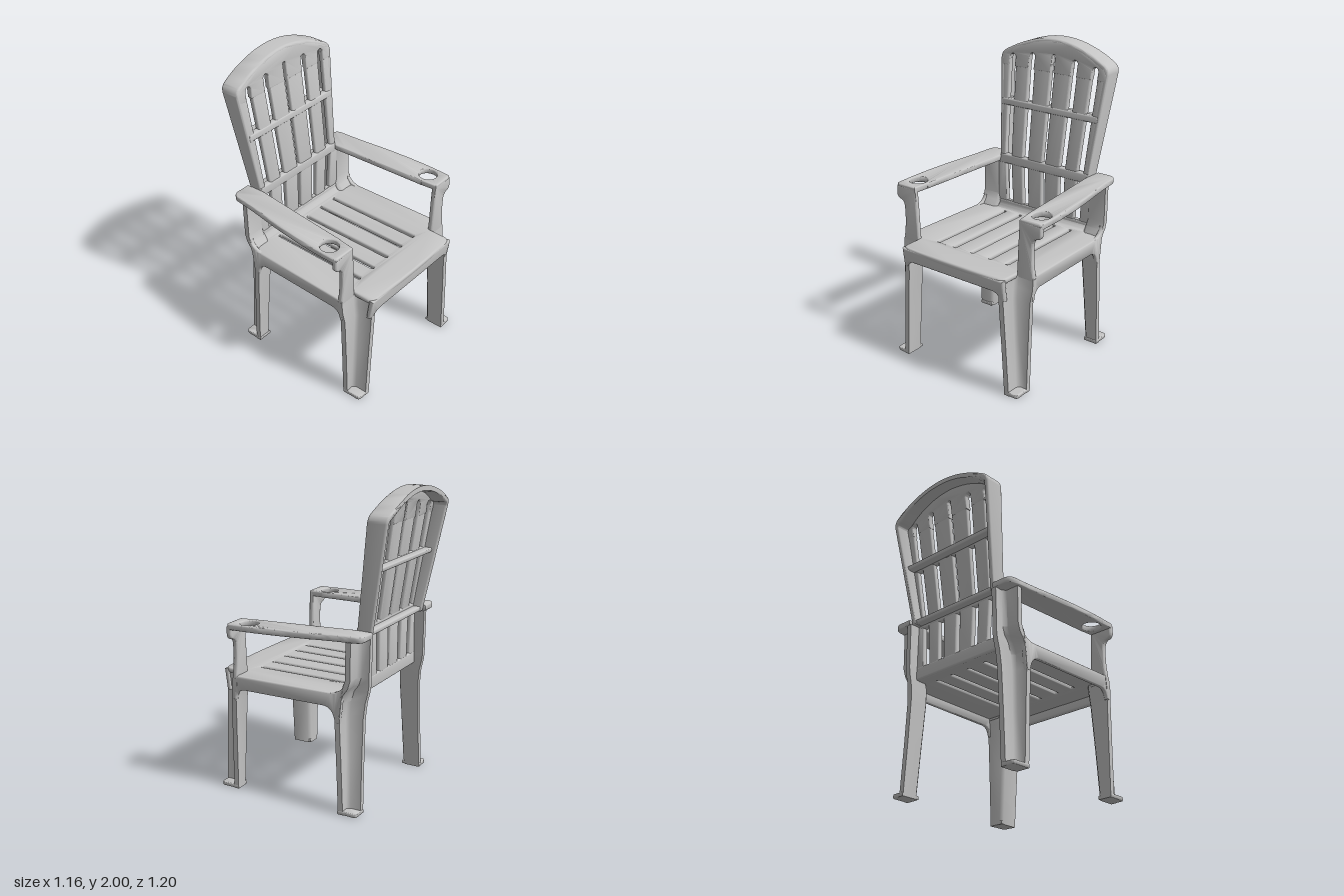
import * as THREE from 'three';
import { toCreasedNormals } from 'three/addons/utils/BufferGeometryUtils.js';

const plastic = new THREE.MeshStandardMaterial({ color: 0xc4c4c4 });
plastic.name = 'greyPlastic';

// Plate with softened edges, filling z = 0..thickness
function plate(shape, thickness, bevel = 0.01) {
  const g = new THREE.ExtrudeGeometry(shape, {
    depth: thickness - 2 * bevel, bevelThickness: bevel, bevelSize: bevel,
    bevelOffset: -bevel, bevelSegments: 3, curveSegments: 10,
  });
  return g.translate(0, 0, bevel);
}

const polygon = points => new THREE.Shape(points.map(([x, y]) => new THREE.Vector2(x, y)));

// Move every vertex by a rule
function warp(g, rule) {
  const p = g.attributes.position, v = new THREE.Vector3();
  for (let i = 0; i < p.count; i++) {
    rule(v.fromBufferAttribute(p, i));
    p.setXYZ(i, v.x, v.y, v.z);
  }
  return g;
}

// Mirrored copy across x = 0 with corner order restored
function mirrored(g) {
  const m = g.index ? g.toNonIndexed() : g.clone();
  const p = m.attributes.position;
  for (let i = 0; i < p.count; i += 3) {
    const t = [0, 2, 1].map(k => [-p.getX(i + k), p.getY(i + k), p.getZ(i + k)]);
    t.forEach((c, k) => p.setXYZ(i + k, ...c));
  }
  return m;
}

// Slot with round ends between two points
function slot(x0, y0, x1, y1, r) {
  const a = Math.atan2(y1 - y0, x1 - x0), path = new THREE.Path();
  path.absarc(x1, y1, r, a - Math.PI / 2, a + Math.PI / 2, false);
  path.absarc(x0, y0, r, a + Math.PI / 2, a + Math.PI * 1.5, false);
  path.closePath();
  return path;
}

// Angle-section column, open to its outer corner; stations: [y, xIn, xOut, zIn, zOut]
function angleColumn(stations, t = 0.034, c = 0.02) {
  const pos = [], idx = [], n = stations.length - 1;
  const s = Math.sign(stations[0][4] - stations[0][3]);
  for (const [y, xi, xo, zi, zo] of stations)
    for (const [x, z] of [[xi + c, zi], [xo, zi], [xo, zi + s * t], [xi + t + c, zi + s * t],
      [xi + t, zi + s * (t + c)], [xi + t, zo], [xi, zo], [xi, zi + s * c]]) pos.push(x, y, z);
  const tri = (a, b, d) => idx.push(...(s > 0 ? [a, b, d] : [a, d, b]));
  for (let k = 0; k < n; k++) for (let i = 0; i < 8; i++) {
    const a = k * 8 + i, b = k * 8 + (i + 1) % 8;
    tri(a, a + 8, b + 8);
    tri(a, b + 8, b);
  }
  for (const [a, b, d] of [[0, 1, 2], [0, 2, 3], [0, 3, 4], [0, 4, 7], [4, 5, 6], [4, 6, 7]]) {
    tri(a, b, d);
    tri(n * 8 + a, n * 8 + d, n * 8 + b);
  }
  const g = new THREE.BufferGeometry();
  g.setAttribute('position', new THREE.Float32BufferAttribute(pos, 3));
  g.setIndex(idx);
  return g;
}

// Arched outline of the backrest inset by d, from lower right over the top to lower left
function archPoints(d, y0) {
  const p = new THREE.Path(), W = 0.43 - d, top = 2 - d;
  p.moveTo(0.363 - d, y0);
  p.lineTo(W, 1.82);
  p.quadraticCurveTo(W + 0.003, 1.865 - d / 2, W - 0.035, 1.885 - d);
  p.bezierCurveTo(0.27, top - 0.045, 0.13, top, 0, top);
  p.bezierCurveTo(-0.13, top, -0.27, top - 0.045, -W + 0.035, 1.885 - d);
  p.quadraticCurveTo(-W - 0.003, 1.865 - d / 2, -W, 1.82);
  p.lineTo(-0.363 + d, y0);
  return p.getPoints(9);
}

const backFront = y => -0.36 - 0.143 * Math.max(0, y - 1.16);

export function createModel() {
  const chair = new THREE.Group();
  chair.name = 'chair';
  const add = (name, g, crease = 0.8) => {
    const m = new THREE.Mesh(toCreasedNormals(g, crease), plastic);
    m.name = name;
    chair.add(m);
  };
  const pair = (name, g) => {
    add('left' + name, g);
    add('right' + name, mirrored(g));
  };
  // Set a plate into the sloping back, its rear face at the given depth
  const lean = (g, depth) => warp(g, v => { v.z += backFront(v.y) - depth; });

  // Slotted seat with narrower front
  const seat = new THREE.Shape();
  seat.moveTo(-0.36, -0.59);
  seat.quadraticCurveTo(0, -0.605, 0.36, -0.59);
  seat.quadraticCurveTo(0.41, -0.585, 0.41, -0.54);
  for (const [x, y] of [[0.41, -0.445], [0.525, -0.445], [0.505, 0.31], [0.39, 0.33], [0.39, 0.385],
    [-0.39, 0.385], [-0.39, 0.33], [-0.505, 0.31], [-0.525, -0.445], [-0.41, -0.445], [-0.41, -0.54]]) seat.lineTo(x, y);
  seat.quadraticCurveTo(-0.41, -0.585, -0.36, -0.59);
  for (const [xf, xb, r] of [[0, 0, 0.010], [0.145, 0.143, 0.012], [0.28, 0.275, 0.011]])
    for (const s of xf ? [-1, 1] : [1]) seat.holes.push(slot(s * xf, -0.378, s * xb, 0.29, r));
  add('seat', plate(seat, 0.035, 0.012).rotateX(-Math.PI / 2).translate(0, 0.757, 0));

  // Front apron with rounded corners into the legs
  const apron = new THREE.Shape();
  apron.moveTo(-0.41, 0.785);
  apron.lineTo(-0.41, 0.64);
  apron.lineTo(-0.375, 0.64);
  apron.quadraticCurveTo(-0.37, 0.698, -0.32, 0.698);
  apron.lineTo(0.32, 0.698);
  apron.quadraticCurveTo(0.37, 0.698, 0.375, 0.64);
  apron.lineTo(0.41, 0.64);
  apron.lineTo(0.41, 0.785);
  add('frontApron', warp(plate(apron, 0.035, 0.014), v => {
    v.z += 0.56 - 0.02 * Math.max(0, (0.70 - v.y) / 0.06);
  }));

  // Side skirts
  const skirt = new THREE.Shape();
  skirt.moveTo(0.445, 0.787);
  skirt.lineTo(0.445, 0.63);
  skirt.lineTo(0.425, 0.63);
  skirt.quadraticCurveTo(0.42, 0.698, 0.36, 0.7);
  skirt.lineTo(-0.2, 0.7);
  skirt.quadraticCurveTo(-0.275, 0.7, -0.285, 0.6);
  skirt.lineTo(-0.32, 0.6);
  skirt.lineTo(-0.345, 0.86);
  skirt.quadraticCurveTo(-0.335, 0.8, -0.25, 0.79);
  pair('SideSkirt', warp(plate(skirt, 0.03).rotateY(-Math.PI / 2), v => {
    v.x += 0.525 - 0.02 * (0.44 - v.z) / 0.76;
  }));

  // Curved joint between seat and backrest
  const cove = new THREE.Shape();
  cove.moveTo(-0.30, 0.787);
  cove.quadraticCurveTo(-0.355, 0.79, -0.362, 0.845);
  cove.lineTo(-0.38, 0.845);
  cove.lineTo(-0.38, 0.77);
  cove.lineTo(-0.30, 0.77);
  add('seatCove', plate(cove, 0.76, 0.002).rotateY(-Math.PI / 2).translate(0.38, 0, 0));

  // Back slats fan out between tapering slots: [centre x, half width, top]
  const slots = [[-0.28, 0.023, 1.862], [-0.145, 0.021, 1.885], [0, 0.012, 1.90],
    [0.145, 0.021, 1.885], [0.28, 0.023, 1.862]];
  const slotX = (x, y) => x * (1 + 0.18 * (y - 0.85));
  for (let i = 0; i < 6; i++) {
    const edge = (k, side, y) => slots[k]
      ? slotX(slots[k][0], y) + side * slots[k][1]
      : -side * (y < 1.14 ? 0.39 : 0.357 + 0.095 * (y - 1.14));
    for (const [part, a, b] of [['lower', 0.78, 1.135], ['upper', 1.145, 1.83]])
      add(part + 'Slat' + (i + 1), lean(plate(polygon([[edge(i - 1, 1, a), a], [edge(i, -1, a), a],
        [edge(i, -1, b), b], [edge(i - 1, 1, b), b]]), 0.038, 0.012), 0.038));
  }

  // Arched head of the back with round slot tops along its lower edge
  const head = new THREE.Shape();
  head.moveTo(-0.42, 1.78);
  for (const [x0, r, top] of slots) {
    const x = slotX(x0, 1.85);
    head.lineTo(x - r - 0.003, 1.78);
    head.absarc(x, top - r, r, Math.PI, 0, true);
    head.lineTo(x + r - 0.003, 1.78);
  }
  head.lineTo(0.42, 1.78);
  for (const p of archPoints(0.008, 1.14).slice(1, -1)) head.lineTo(p.x, p.y);
  add('backHead', lean(plate(head, 0.042, 0.008), 0.04));

  // Deep rim around the sides and top of the back
  const rim = new THREE.Shape([...archPoints(0, 1.13), ...archPoints(0.032, 1.13).reverse()]);
  add('backRim', warp(plate(rim, 0.1, 0.011), v => {
    const depth = (0.1 - v.z) / 0.1 * (0.1 + 0.05 * (v.y - 1.16));
    v.z = Math.max(-0.6, backFront(v.y) + 0.002 - depth);
  }));

  // Cross rails, and the ribs behind them: [name, y, height, half width]
  const bar = (y, h, w) => polygon([[-w, y - h / 2], [w, y - h / 2], [w, y + h / 2], [-w, y + h / 2]]);
  for (const [name, y, h, w] of [['bottom', 0.802, 0.085, 0.39], ['arm', 1.147, 0.068, 0.365], ['middle', 1.537, 0.048, 0.39]]) {
    add(name + 'Rail', lean(plate(bar(y, h, w), 0.044, 0.012), 0.04));
    if (y > 1) add(name + 'Rib', lean(plate(bar(y, 0.03, w), 0.075, 0.01), 0.09));
  }

  // Legs; the rear ones rise to carry the armrests
  pair('FrontLeg', angleColumn([
    [0, 0.405, 0.503, 0.44, 0.573], [0.35, 0.385, 0.51, 0.435, 0.576],
    [0.62, 0.368, 0.517, 0.43, 0.578], [0.70, 0.365, 0.527, 0.42, 0.58], [0.775, 0.365, 0.527, 0.412, 0.578],
  ]));
  pair('RearLeg', angleColumn([
    [0, 0.405, 0.503, -0.31, -0.435], [0.35, 0.385, 0.503, -0.297, -0.43],
    [0.62, 0.37, 0.503, -0.285, -0.43], [0.72, 0.365, 0.503, -0.288, -0.44],
    [0.79, 0.363, 0.502, -0.31, -0.457], [0.83, 0.362, 0.502, -0.34, -0.462],
    [0.88, 0.362, 0.502, -0.356, -0.463], [1.13, 0.358, 0.502, -0.36, -0.468],
  ]));

  // Foot pads
  for (const [name, z] of [['FrontFoot', 0.507], ['RearFoot', -0.372]]) {
    const foot = new THREE.Shape(), a = 0.049, b = 0.066, s = Math.sign(z);
    foot.moveTo(-a, s * b);
    foot.lineTo(-a, -s * b);
    foot.lineTo(a, -s * b);
    foot.lineTo(a, s * (b - 0.025));
    foot.quadraticCurveTo(a, s * b, a - 0.025, s * b);
    pair(name, plate(foot, 0.026, 0.006).rotateX(Math.PI / 2).scale(1, 1, 1).translate(0.455, 0.026, z));
  }

  // Front arm posts flaring under the armrests
  const post = new THREE.Shape();
  post.moveTo(0.40, 0.74);
  post.lineTo(0.527, 0.74);
  post.lineTo(0.525, 0.80);
  post.quadraticCurveTo(0.508, 0.9, 0.517, 1.0);
  post.quadraticCurveTo(0.522, 1.035, 0.55, 1.04);
  post.quadraticCurveTo(0.58, 1.045, 0.58, 1.08);
  post.lineTo(0.578, 1.13);
  post.lineTo(0.42, 1.13);
  post.lineTo(0.412, 1.0);
  pair('ArmPost', plate(post, 0.035).translate(0, 0, 0.412));

  // Armrests in two overlapping pieces that close around the round cup hole
  const rear = new THREE.Shape(), front = new THREE.Shape(), cx = 0.497, cy = -0.325, r = 0.06;
  rear.moveTo(cx + r, cy - 0.012);
  rear.lineTo(0.582, cy - 0.012);
  rear.bezierCurveTo(0.583, -0.2, 0.565, 0, 0.547, 0.13);
  rear.quadraticCurveTo(0.523, 0.28, 0.513, 0.42);
  rear.quadraticCurveTo(0.508, 0.47, 0.46, 0.472);
  rear.lineTo(0.37, 0.472);
  rear.lineTo(0.358, 0.34);
  rear.quadraticCurveTo(0.385, 0, 0.407, cy - 0.012);
  rear.lineTo(cx - r, cy - 0.012);
  rear.absarc(cx, cy, r, Math.PI, 0, true);
  front.moveTo(cx - r, cy + 0.012);
  front.lineTo(0.406, cy + 0.012);
  front.lineTo(0.422, -0.445);
  front.lineTo(0.56, -0.445);
  front.quadraticCurveTo(0.58, -0.445, 0.581, -0.42);
  front.lineTo(0.582, cy + 0.012);
  front.lineTo(cx + r, cy + 0.012);
  front.absarc(cx, cy, r, 0, Math.PI, true);
  for (const [name, shape] of [['Armrest', rear], ['ArmrestFront', front]])
    pair(name, warp(plate(shape, 0.04, 0.009).rotateX(-Math.PI / 2), v => {
      v.y += 1.105 + (0.44 - v.z) * 0.024;
    }));

  return chair;
}
